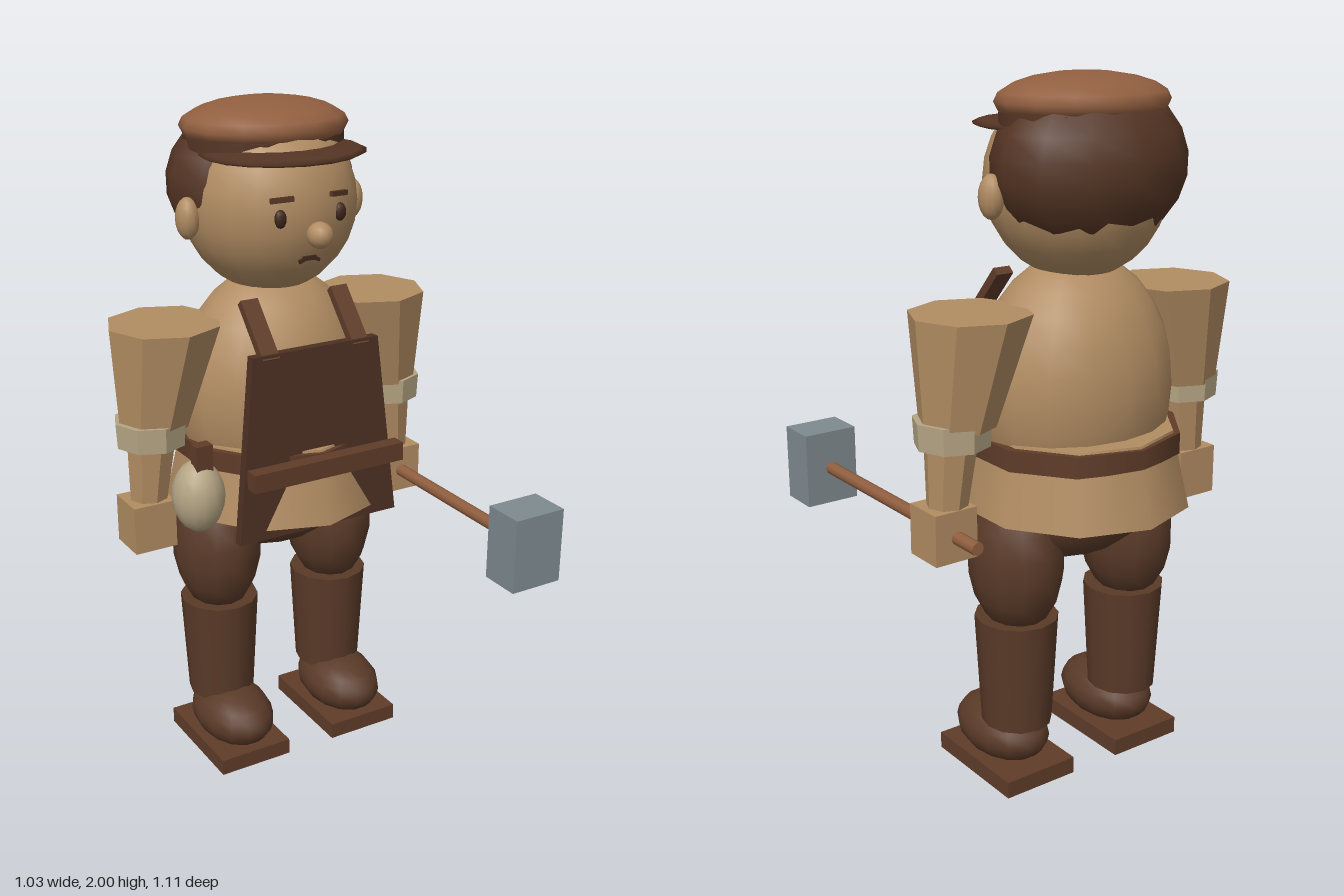
import * as THREE from 'three';

const mat = (name, color) => {
  const m = new THREE.MeshStandardMaterial({ color });
  m.name = name;
  return m;
};

export function createModel() {
  const M = {
    skin: mat('tan', 0xb18c62),
    hair: mat('hair brown', 0x553524),
    leather: mat('apron brown', 0x4d3123),
    trousers: mat('trouser brown', 0x5a3a28),
    belt: mat('belt brown', 0x5f3c29),
    wood: mat('reddish wood', 0x925f40),
    cream: mat('cream cloth', 0xb5a584),
    steel: mat('steel', 0x7f8a8f),
    dark: mat('dark feature', 0x40281b),
  };
  const Z = -0.21; // body axis
  const model = new THREE.Group();
  model.name = 'craftsman';

  const add = (name, geo, material, x, y, z, parent = model) => {
    const m = new THREE.Mesh(geo, material);
    m.name = name;
    m.position.set(x, y, z);
    parent.add(m);
    return m;
  };
  const box = (name, w, h, d, material, x, y, z) =>
    add(name, new THREE.BoxGeometry(w, h, d), material, x, y, z);
  const ball = (name, rx, ry, rz, material, x, y, z, seg = 12, rows = 10) =>
    add(name, new THREE.SphereGeometry(1, seg, rows).scale(rx, ry, rz), material, x, y, z);
  const flat = (geo) => {
    const g = geo.toNonIndexed();
    g.computeVertexNormals();
    return g;
  };

  // Head and face
  ball('head', 0.255, 0.265, 0.25, M.skin, 0, 1.715, -0.215, 20, 14);
  ball('nose', 0.037, 0.037, 0.04, M.skin, 0, 1.665, 0.068);
  for (const s of [-1, 1]) {
    ball('ear', 0.034, 0.06, 0.038, M.skin, s * 0.268, 1.69, -0.2);
    ball('eye', 0.018, 0.026, 0.014, M.dark, s * 0.095, 1.71, 0.018, 10, 8);
    const brow = box('eyebrow', 0.066, 0.014, 0.012, M.hair, s * 0.09, 1.762, 0.018);
    brow.rotation.set(0, s * 0.35, -s * 0.08);
    const corner = box('mouthCorner', 0.02, 0.01, 0.009, M.dark, s * 0.023, 1.585, 0.011);
    corner.rotation.z = -s * 0.4;
  }
  box('mouth', 0.04, 0.012, 0.009, M.dark, 0, 1.59, 0.013);

  // Hair and flat cap
  add('hair', new THREE.SphereGeometry(1, 12, 9, 0, Math.PI * 2, 0.6, Math.PI - 0.6)
    .scale(0.285, 0.23, 0.225), M.hair, 0, 1.76, -0.27);
  ball('capCrown', 0.25, 0.075, 0.21, M.wood, 0, 1.925, -0.24, 14, 10);
  add('capBand', new THREE.CylinderGeometry(1, 1, 0.05, 16).scale(0.237, 1, 0.2),
    M.hair, 0, 1.875, -0.24);
  ball('capVisor', 0.245, 0.022, 0.215, M.hair, 0, 1.862, -0.135, 18, 8);

  // Shirt body with its flared hem
  ball('torso', 0.3, 0.37, 0.24, M.skin, 0, 1.15, Z, 16, 14);
  const hem = new THREE.CylinderGeometry(0.85, 1, 0.22, 10);
  add('shirtHem', hem.scale(0.328, 1, 0.342), M.skin, 0, 0.93, Z);

  // Belt and apron
  add('belt', new THREE.CylinderGeometry(0.305, 0.305, 0.06, 10), M.belt, 0, 1.003, Z);
  const bib = new THREE.Shape([[-0.265, 0], [0.265, 0], [0.205, 0.55], [-0.205, 0.55]]
    .map(([x, y]) => new THREE.Vector2(x, y)));
  const apron = add('apron', new THREE.ExtrudeGeometry(bib, { depth: 0.03, bevelEnabled: false }),
    M.leather, 0, 0.792, 0.042);
  apron.rotation.x = -0.036;
  box('apronBelt', 0.495, 0.055, 0.045, M.belt, 0, 1.003, 0.112);
  for (const s of [-1, 1]) {
    const strap = box('apronStrap', 0.054, 0.19, 0.025, M.belt, s * 0.147, 1.393, -0.017);
    strap.rotation.x = -0.73;
  }

  // Pouch hanging from the belt
  box('pouchLoop', 0.052, 0.09, 0.04, M.belt, -0.317, 1.03, -0.055);
  ball('pouch', 0.078, 0.11, 0.08, M.cream, -0.322, 0.91, -0.075, 14, 10);

  // Arms
  for (const s of [-1, 1]) {
    const sleeve = new THREE.CylinderGeometry(0.168, 0.105, 0.3, 8);
    const p = sleeve.attributes.position;
    for (let i = 0; i < p.count; i++) { // lean the sleeve outward, rims stay level
      p.setX(i, p.getX(i) + s * (0.347 + (0.15 - p.getY(i)) * 0.15));
    }
    add('sleeve', flat(sleeve), M.skin, 0, 1.25, -0.213);
    add('cuff', flat(new THREE.CylinderGeometry(0.108, 0.104, 0.075, 8)),
      M.cream, s * 0.405, 1.085, -0.207);
    const forearm = add('forearm', flat(new THREE.CylinderGeometry(0.075, 0.056, 0.2, 8)),
      M.skin, s * 0.415, 0.965, -0.203);
    forearm.rotation.z = s * 0.08;
    box('hand', 0.132, 0.145, 0.126, M.skin, s * 0.432, 0.808, -0.2);
  }

  // Hammer
  const handle = add('hammerHandle', new THREE.CylinderGeometry(0.019, 0.019, 0.82, 8),
    M.wood, 0.43, 0.805, 0.05);
  handle.rotation.x = Math.PI / 2;
  box('hammerHead', 0.166, 0.225, 0.125, M.steel, 0.428, 0.807, 0.4925);

  // Hips and legs
  ball('hips', 0.26, 0.15, 0.19, M.trousers, 0, 0.8, Z, 14, 10);
  for (const s of [-1, 1]) {
    ball('thigh', 0.132, 0.215, 0.15, M.trousers, s * 0.2, 0.67, Z, 12, 9);
    add('bootShaft', new THREE.CylinderGeometry(0.119, 0.101, 0.33, 12).scale(1, 1, 1.04),
      M.trousers, s * 0.197, 0.335, -0.207);
    ball('foot', 0.117, 0.09, 0.17, M.trousers, s * 0.197, 0.115, -0.135, 14, 10);
    box('sole', 0.235, 0.05, 0.35, M.belt, s * 0.197, 0.025, -0.153);
  }
  return model;
}
